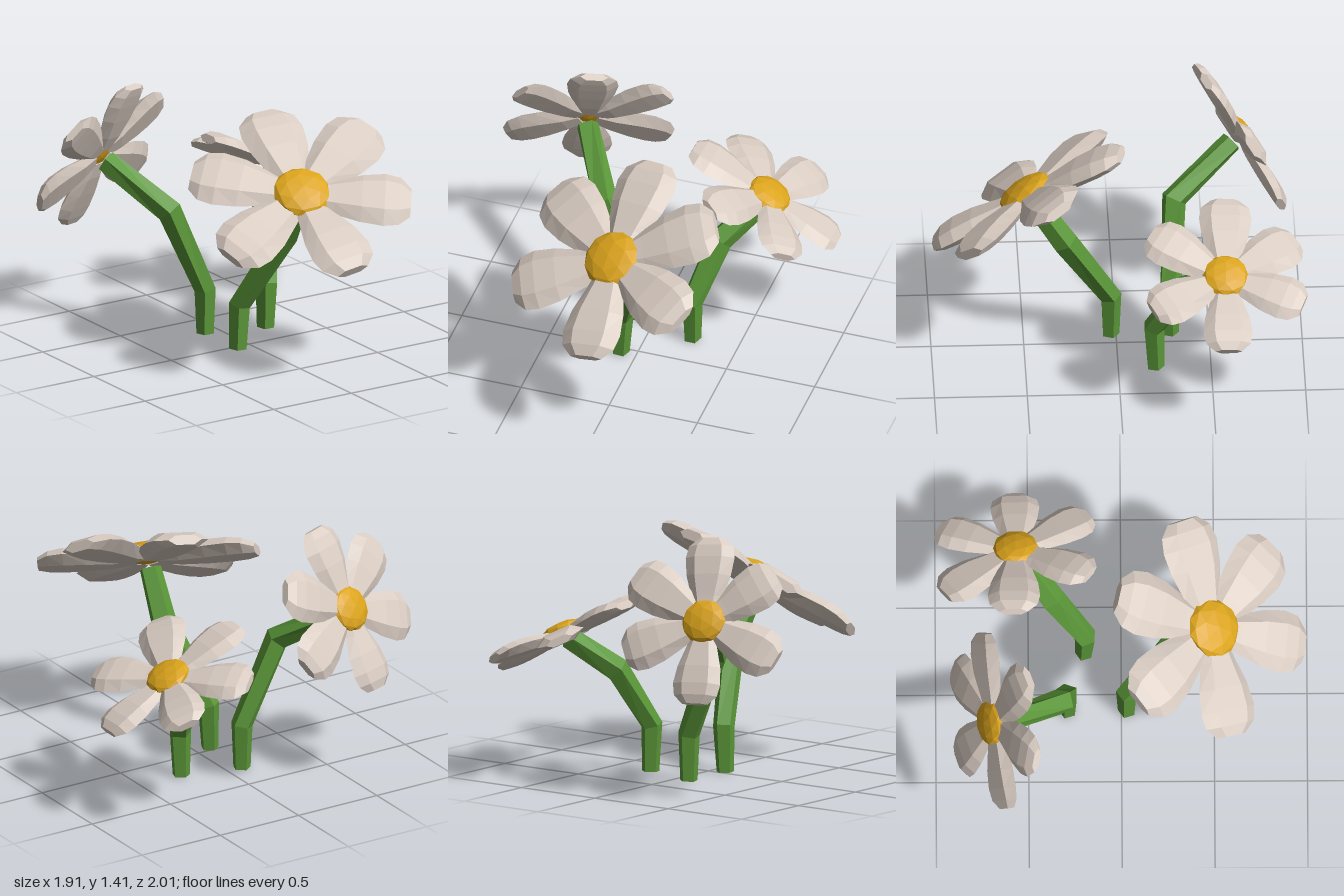
import * as THREE from 'three';

const V = (x, y, z) => new THREE.Vector3(x, y, z);
const mat = (color) => new THREE.MeshStandardMaterial({ color, flatShading: true });
const petalMat = mat(0xd9ccc2), discMat = mat(0xdba41c), stemMat = mat(0x5a9638);

// Skin a row of equal-sized rings and close both ends
function loft(rings) {
  const out = [];
  const tri = (...pts) => pts.forEach((p) => out.push(p.x, p.y, p.z));
  const n = rings[0].length;
  const middle = (ring) => ring.reduce((s, p) => s.add(p), V(0, 0, 0)).divideScalar(n);
  const first = rings[0], last = rings[rings.length - 1];
  const c0 = middle(first), c1 = middle(last);
  for (let k = 0; k < n; k++) {
    const j = (k + 1) % n;
    for (let i = 0; i < rings.length - 1; i++) {
      const a = rings[i], b = rings[i + 1];
      tri(a[k], a[j], b[j]);
      tri(a[k], b[j], b[k]);
    }
    tri(c0, first[j], first[k]);
    tri(c1, last[k], last[j]);
  }
  const geo = new THREE.BufferGeometry();
  geo.setAttribute('position', new THREE.Float32BufferAttribute(out, 3));
  geo.computeVertexNormals();
  return geo;
}

// Unit-long petal along +x: [distance, height, half width, half thickness]
const petalSections = [
  [0.1, 0, 0.13, 0.05],
  [0.3, 0, 0.19, 0.068],
  [0.55, 0.015, 0.268, 0.082],
  [0.76, 0.02, 0.296, 0.082],
  [0.9, 0.015, 0.268, 0.07],
  [1.0, 0, 0.16, 0.044],
];
const hexagon = [[1, -0.55], [1, 0.55], [0, 1], [-1, 0.55], [-1, -0.55], [0, -1]];
const petalGeo = loft(petalSections.map(([x, y, w, h]) =>
  hexagon.map(([a, b]) => V(x, y + a * h, b * w))));

// Flattened faceted button in the middle of the flower
const discGeo = new THREE.IcosahedronGeometry(1, 1).scale(1, 0.36, 1);

// Five-sided bent stem through four points, slim at the foot and thickest at the upper bend
const stemRadii = [0.049, 0.061, 0.072, 0.062];
function stemGeometry(points) {
  return loft(points.map((p, i) => {
    const dir = V(0, 0, 0);
    if (i > 0) dir.add(p.clone().sub(points[i - 1]).normalize());
    if (i < points.length - 1) dir.add(points[i + 1].clone().sub(p).normalize());
    dir.normalize();
    const u = V(1, 0, 0).projectOnPlane(dir).normalize();
    const v = dir.clone().cross(u);
    return Array.from({ length: 5 }, (_, k) => {
      const t = (k / 5) * Math.PI * 2 + 0.3;
      return p.clone()
        .addScaledVector(u, stemRadii[i] * Math.cos(t))
        .addScaledVector(v, stemRadii[i] * Math.sin(t));
    });
  }));
}

// Point a mesh's +x along a direction, with its +y as near to "up" as possible
function orient(mesh, direction, up) {
  const x = direction.clone().normalize();
  const y = up.clone().projectOnPlane(x).normalize();
  mesh.quaternion.setFromRotationMatrix(new THREE.Matrix4().makeBasis(x, y, x.clone().cross(y)));
}

function makeFlower({ name, centre, normal, discRadius, tips, stem }) {
  const flower = new THREE.Group();
  flower.name = name;
  const add = (part, geo, material) => {
    const mesh = new THREE.Mesh(geo, material);
    mesh.name = part;
    flower.add(mesh);
    return mesh;
  };
  const up = normal.clone().normalize();

  add('stem', stemGeometry(stem), stemMat);

  // Each petal reaches from the centre to its own tip
  for (const tip of tips) {
    const reach = tip.clone().sub(centre);
    const petal = add('petal', petalGeo, petalMat);
    petal.position.copy(centre);
    petal.scale.setScalar(reach.length());
    orient(petal, reach, up);
  }

  const disc = add('flowerCentre', discGeo, discMat);
  disc.scale.setScalar(discRadius);
  disc.position.copy(centre).addScaledVector(up, discRadius * 0.16);
  orient(disc, tips[0].clone().sub(centre).projectOnPlane(up), up);
  return flower;
}

export function createModel() {
  const group = new THREE.Group();
  group.name = 'flowers';
  group.add(
    makeFlower({
      name: 'frontFlower', discRadius: 0.16,
      centre: V(0.02, 0.985, 0.485), normal: V(-0.21, 0.81, 0.545),
      tips: [
        V(0.1, 1.29, -0.02), V(0.55, 1.23, 0.33), V(0.51, 0.94, 0.81),
        V(0.025, 0.69, 0.98), V(-0.51, 0.755, 0.59), V(-0.43, 1.07, 0.09),
      ],
      stem: [V(-0.09, 0.01, 0.03), V(-0.08, 0.26, 0.03), V(0.05, 0.7, 0.28), V(0.03, 0.94, 0.44)],
    }),
    makeFlower({
      name: 'backRightFlower', discRadius: 0.125,
      centre: V(-0.51, 0.985, -0.69), normal: V(-0.26, 0.46, -0.85),
      tips: [
        V(-0.415, 1.405, -0.5), V(-0.82, 1.235, -0.46), V(-0.94, 0.81, -0.62),
        V(-0.58, 0.57, -0.87), V(-0.12, 0.8, -0.89), V(-0.08, 1.2, -0.74),
      ],
      stem: [V(-0.09, 0.01, -0.29), V(-0.09, 0.26, -0.29), V(-0.3, 0.73, -0.32), V(-0.5, 0.96, -0.64)],
    }),
    makeFlower({
      name: 'backLeftFlower', discRadius: 0.125,
      centre: V(0.55, 0.78, -0.565), normal: V(0.47, 0.88, -0.03),
      tips: [
        V(0.12, 0.99, -0.58), V(0.28, 0.83, -0.95), V(0.7, 0.69, -0.98),
        V(0.94, 0.56, -0.57), V(0.765, 0.71, -0.17), V(0.35, 0.93, -0.17),
      ],
      stem: [V(0.24, 0.01, -0.2), V(0.24, 0.26, -0.19), V(0.34, 0.58, -0.37), V(0.53, 0.76, -0.55)],
    }),
  );
  return group;
}
